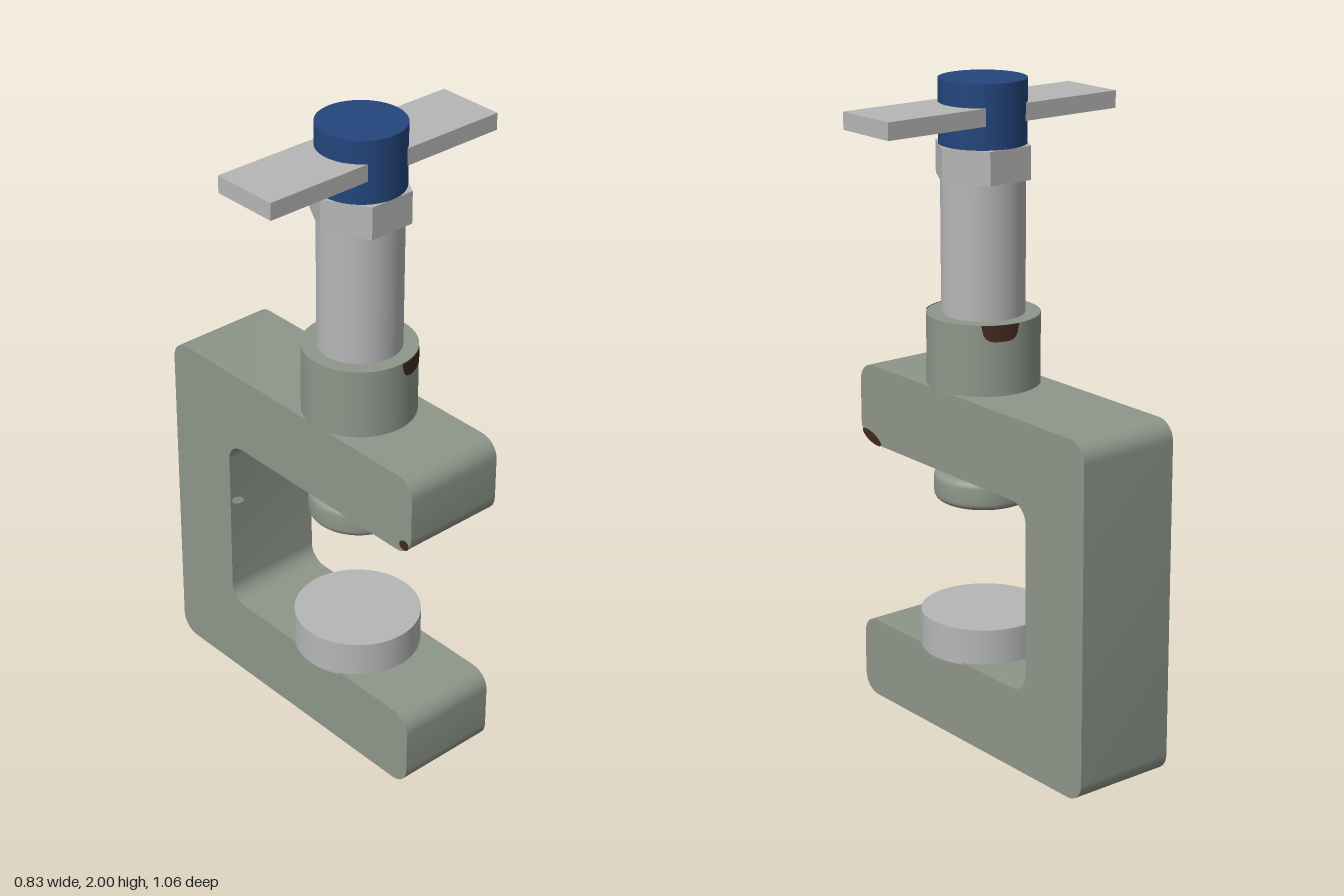
import * as THREE from 'three';
import { toCreasedNormals } from 'three/addons/utils/BufferGeometryUtils.js';

const AXIS_Z = 0.128; // the screw axis stands ahead of the centre

// Closed outline with every corner rounded by radius r
function roundedOutline(points, r) {
  const shape = new THREE.Shape();
  const v = points.map(([x, y]) => new THREE.Vector2(x, y));
  const k = 0.448 * r;
  const toward = (a, b, d) => b.clone().sub(a).normalize().multiplyScalar(d).add(a);
  v.forEach((p, i) => {
    const prev = v[(i + v.length - 1) % v.length], next = v[(i + 1) % v.length];
    const a = toward(p, prev, r), c1 = toward(p, prev, k);
    const c2 = toward(p, next, k), b = toward(p, next, r);
    if (i === 0) shape.moveTo(a.x, a.y); else shape.lineTo(a.x, a.y);
    shape.bezierCurveTo(c1.x, c1.y, c2.x, c2.y, b.x, b.y);
  });
  shape.closePath();
  return shape;
}

export function createModel() {
  const model = new THREE.Group();
  model.name = 'screwClamp';

  const material = (name, color, side = THREE.FrontSide) => {
    const m = new THREE.MeshStandardMaterial({ color, side });
    m.name = name;
    return m;
  };
  const paint = material('greyGreenPaint', 0x8e968a);
  const steel = material('steel', 0xb6b6b6);
  const blue = material('bluePaint', 0x23457c);
  const rust = material('rust', 0x42291f, THREE.DoubleSide);
  const bare = material('bareMetal', 0xc4c6c2, THREE.DoubleSide);

  const add = (name, geometry, mat, x = 0, y = 0, z = 0) => {
    const mesh = new THREE.Mesh(geometry, mat);
    mesh.name = name;
    mesh.position.set(x, y, z);
    model.add(mesh);
    return mesh;
  };
  // Upright cylinder on the screw axis, from y0 to y1
  const post = (name, radius, y0, y1, mat, sides = 48) =>
    add(name, new THREE.CylinderGeometry(radius, radius, y1 - y0, sides), mat, 0, (y0 + y1) / 2, AXIS_Z);

  // C-shaped frame: outline in (z, y), extruded across x
  const outline = roundedOutline([
    [0.53, 0], [0.53, 0.255], [-0.275, 0.255], [-0.275, 0.84],
    [0.53, 0.84], [0.53, 1.09], [-0.53, 1.09], [-0.53, 0],
  ], 0.06);
  const frame = new THREE.ExtrudeGeometry(outline, { depth: 0.33, bevelEnabled: false, curveSegments: 8 });
  frame.rotateY(-Math.PI / 2).translate(0.165, 0, 0);
  add('frame', toCreasedNormals(frame, 0.6), paint);

  // Threaded collar, screw, anvil and cap
  post('collar', 0.17, 1.08, 1.305, paint);
  post('screw', 0.125, 0.80, 1.72, steel);
  post('anvil', 0.194, 0.25, 0.365, steel);
  post('cap', 0.13, 1.81, 2, blue);

  // Hexagonal nut with corners toward the sides
  const nut = toCreasedNormals(new THREE.CylinderGeometry(0.149, 0.149, 0.1, 6), 0.5);
  nut.rotateY(Math.PI / 6);
  add('nut', nut, steel, 0, 1.76, AXIS_Z);

  // Flat turning bar through the cap
  add('turningBar', new THREE.BoxGeometry(0.83, 0.052, 0.215), steel, 0, 1.905, AXIS_Z);

  // Pressure pad with rounded rims
  const profile = [new THREE.Vector2(0, 0)];
  const rim = 0.022;
  for (const [cy, start] of [[rim, -Math.PI / 2], [0.09 - rim, 0]]) {
    for (let i = 0; i <= 5; i++) {
      const a = start + (i / 5) * Math.PI / 2;
      profile.push(new THREE.Vector2(0.151 - rim + rim * Math.cos(a), cy + rim * Math.sin(a)));
    }
  }
  profile.push(new THREE.Vector2(0, 0.09));
  add('pressurePad', toCreasedNormals(new THREE.LatheGeometry(profile, 48), 0.6), paint, 0, 0.726, AXIS_Z);

  // Rust patches hanging from the collar's top rim, front and back
  for (const [name, centre] of [['frontCollarRust', 0.38], ['backCollarRust', Math.PI - 0.36]]) {
    const patch = new THREE.PlaneGeometry(2, 1, 20, 1);
    const p = patch.attributes.position;
    for (let i = 0; i < p.count; i++) {
      const u = p.getX(i), a = centre + u * 0.34;
      const drop = p.getY(i) > 0 ? 0 : 0.05 * Math.sqrt(Math.max(0, 1 - u ** 4));
      p.setXYZ(i, 0.1725 * Math.sin(a), 1.305 - drop, 0.1725 * Math.cos(a));
    }
    patch.computeVertexNormals();
    add(name, patch, rust, 0, 0, AXIS_Z);
  }

  // Rust patches at the lower tip of the upper arm
  for (const [name, x, y, z, w] of [
    ['leftArmRust', 0.167, 0.859, 0.474, 0.05],
    ['rightArmRust', -0.167, 0.87, 0.503, 0.02],
  ]) {
    const spot = new THREE.CircleGeometry(1, 24);
    spot.scale(w, 0.016, 1).rotateZ(0.3).rotateY(-Math.PI / 2);
    add(name, spot, rust, x, y, z);
  }

  // Chipped paint on the inner face of the spine
  const chip = new THREE.CircleGeometry(1, 16);
  chip.scale(0.026, 0.012, 1).rotateZ(-0.4);
  add('paintChip', chip, bare, -0.138, 0.617, -0.273);

  return model;
}
